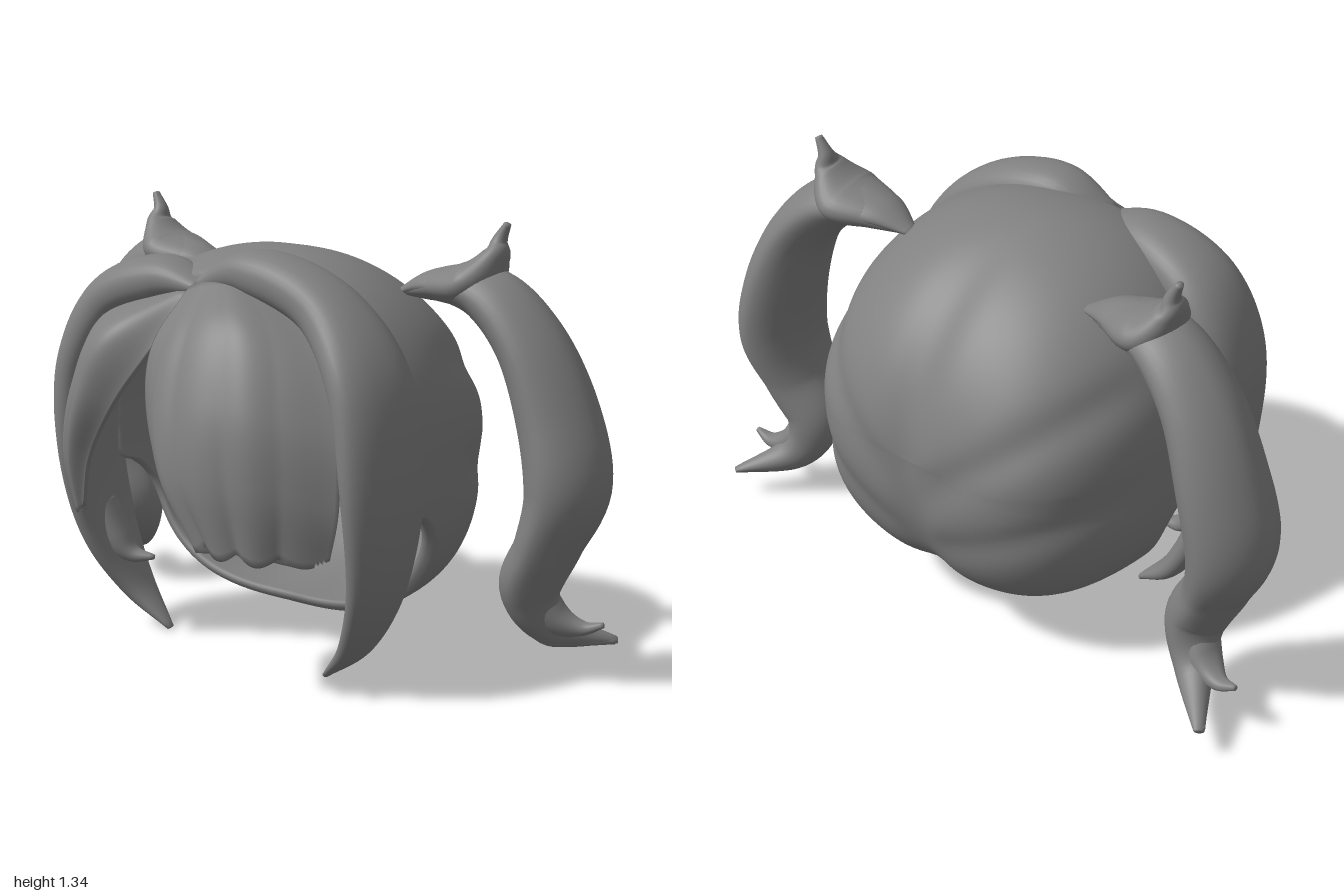
import * as THREE from 'three';
import { mergeVertices } from 'three/addons/utils/BufferGeometryUtils.js';

const material = new THREE.MeshStandardMaterial({ color: 0x808080, side: THREE.DoubleSide });
const V = (a) => new THREE.Vector3(...a);
const spline = (pts) => new THREE.CatmullRomCurve3(pts.map(V), false, 'catmullrom', 0.5);
const spow = (v, e) => Math.sign(v) * Math.pow(Math.abs(v), e);
const smooth = THREE.MathUtils.smoothstep;

// Closed skin over a list of rings (each ring is a closed loop of points)
function skin(name, rings) {
  const n = rings[0].length, index = [];
  const centre = (ring) => {
    const c = ring.reduce((a, p) => a.add(p), new THREE.Vector3()).divideScalar(n);
    return ring.map(() => c);
  };
  const all = [centre(rings[0]), ...rings, centre(rings[rings.length - 1])];
  const pts = all.flat();
  let volume = 0;
  const tri = (a, b, c) => {
    index.push(a, b, c);
    volume += pts[a].dot(new THREE.Vector3().crossVectors(pts[b], pts[c]));
  };
  for (let i = 0; i < all.length - 1; i++) {
    for (let j = 0; j < n; j++) {
      const a = i * n + j, b = i * n + (j + 1) % n;
      tri(a, b, b + n);
      tri(a, b + n, a + n);
    }
  }
  if (volume < 0) index.reverse();
  let geo = new THREE.BufferGeometry().setFromPoints(pts);
  geo.setIndex(index);
  geo = mergeVertices(geo, 1e-5);
  geo.computeVertexNormals();
  const mesh = new THREE.Mesh(geo, material);
  mesh.name = name;
  return mesh;
}

// Tapered lock: stations are [x, y, z, half width, half thickness];
// power below 1 squares the section, above 1 makes it a soft diamond
function lock(name, stations, { wide = [0, 0, 1], steps = 64, power = 0.9 } = {}) {
  const path = spline(stations.map((s) => s.slice(0, 3)));
  const size = spline(stations.map((s) => [s[3], s[4], 0]));
  const rings = [], sides = 32;
  for (let i = 0; i <= steps; i++) {
    const t = i / steps, p = path.getPoint(t), s = size.getPoint(t);
    const T = path.getTangent(t), W = V(wide);
    W.addScaledVector(T, -W.dot(T)).normalize();
    const N = new THREE.Vector3().crossVectors(T, W);
    rings.push(Array.from({ length: sides }, (_, j) => {
      const a = (j / sides) * Math.PI * 2;
      return p.clone()
        .addScaledVector(W, Math.max(s.x, 0.004) * spow(Math.cos(a), power))
        .addScaledVector(N, Math.max(s.y, 0.004) * spow(Math.sin(a), power));
    }));
  }
  return skin(name, rings);
}

// Fringe tuft: guide curves run root to tip, side by side; strands ripple the front
function tuft(name, guides, strands, ripple, scallop) {
  const curves = guides.map(spline), rings = [], nS = 64, nT = 40;
  const core = new THREE.Vector3(0, 0.66, 0);
  for (let i = 0; i <= nT; i++) {
    const t = i / nT;
    const across = new THREE.CatmullRomCurve3(curves.map((c) => c.getPoint(t)), false, 'catmullrom', 0.5);
    const front = [], back = [];
    for (let j = 0; j <= nS; j++) {
      const s = j / nS, p = across.getPoint(s);
      const wave = Math.abs(Math.sin(Math.PI * strands * s));
      p.y -= scallop * (wave - 0.5) * Math.pow(t, 6);
      const out = p.clone().sub(core).normalize();
      p.addScaledVector(out, ripple * (wave - 0.6) * t * Math.sin(Math.PI * s));
      front.push(p);
      if (j > 0 && j < nS) {
        const depth = 0.07 * Math.pow(Math.sin(Math.PI * s), 0.5) * (1 - 0.6 * t * t);
        back.unshift(p.clone().addScaledVector(out, -depth));
      }
    }
    rings.push([...front, ...back]);
  }
  return skin(name, rings);
}

// Hollow back of the hair, open to the front, with combed grooves
function backHair() {
  const nU = 160, nV = 48, rings = [];
  const point = (u, k, shell) => {
    const c = Math.cos(u), s = Math.sin(u), e = s < 0 ? 0.67 : 0.9;
    // the opening arches back behind the jaw
    const arch = THREE.MathUtils.clamp((-spow(s, e) - 0.25) / 0.33, 0, 1);
    const edge = s > 0 ? 0.12 + 0.13 * smooth(s, 0.2, 0.9)
      : 0.12 - 0.18 * Math.sqrt(1 - (1 - arch) * (1 - arch));
    const v = Math.max(k, 0.004) * Math.acos(-edge / 0.58), sv = Math.sin(v);
    // broad, squarish back; domed crown; flat underside
    const low = v > Math.PI / 2 ? sv : 1 - Math.pow(1 - sv, 1.7);
    const height = s > 0 ? 0.58 * Math.pow(sv, 1.1) : 0.54 * low;
    const p = new THREE.Vector3(0.57 * Math.pow(sv, 0.55) * spow(c, e), height * spow(s, e), -0.585 * Math.cos(v));
    const ax = Math.abs(p.x), back = smooth(-p.z, 0, 0.35);
    const groove = (d, w) => Math.exp(-(d * d) / (w * w));
    let dent = 0.035 * groove(ax, 0.08) * smooth(-p.z, 0, 0.4);
    dent += 0.026 * back * groove(p.y + 0.14 - 0.8 * ax, 0.08) * smooth(ax, 0, 0.15);
    dent += 0.018 * back * groove(p.y + 0.33 - 0.5 * ax, 0.06) * smooth(ax, 0, 0.15);
    p.multiplyScalar((1 - dent) * shell);
    // keep the inner wall's rim level with the outer one
    if (shell < 1) p.z += (1 - shell) * 0.3 * k;
    p.y += 0.66;
    return p;
  };
  const ring = (k, shell) => Array.from({ length: nU }, (_, j) => point((j / nU) * Math.PI * 2, k, shell));
  for (let i = 0; i <= nV; i++) rings.push(ring(i / nV, 1));
  rings.push(ring(1.01, 0.975));
  for (let i = nV; i >= 0; i--) rings.push(ring(i / nV, 0.94));
  return skin('backHair', rings);
}

function pigtail(side, name) {
  const g = new THREE.Group();
  g.name = name;
  const m = (rows) => rows.map(([x, ...r]) => [x * side, ...r]);
  g.add(lock('tail', m([
    [0.33, 1.11, -0.17, 0.02, 0.01], [0.46, 1.145, -0.175, 0.085, 0.045], [0.62, 1.125, -0.195, 0.115, 0.08],
    [0.75, 1.0, -0.21, 0.14, 0.092], [0.84, 0.8, -0.222, 0.16, 0.11], [0.885, 0.6, -0.215, 0.165, 0.117],
    [0.84, 0.43, -0.2, 0.138, 0.092], [0.775, 0.28, -0.21, 0.1, 0.09], [0.82, 0.155, -0.27, 0.06, 0.06],
    [0.95, 0.1, -0.42, 0.016, 0.01],
  ]), { steps: 80, power: 1.12 }));
  // Ridge rising to an upturned wisp at the tie
  g.add(lock('topWisp', m([
    [0.34, 1.112, -0.17, 0.02, 0.01], [0.46, 1.14, -0.175, 0.085, 0.045], [0.575, 1.16, -0.19, 0.118, 0.062],
    [0.635, 1.235, -0.2, 0.06, 0.036], [0.642, 1.28, -0.207, 0.026, 0.022], [0.665, 1.33, -0.21, 0.012, 0.01],
  ]), { steps: 40, power: 1 }));
  // Split ends
  g.add(lock('endWisp', m([
    [0.77, 0.27, -0.21, 0.07, 0.07], [0.84, 0.19, -0.25, 0.055, 0.045],
    [0.91, 0.165, -0.28, 0.03, 0.022], [0.975, 0.185, -0.29, 0.008, 0.008],
  ]), { steps: 24 }));
  g.add(lock('lowerWisp', m([
    [0.76, 0.25, -0.21, 0.06, 0.06], [0.81, 0.145, -0.26, 0.05, 0.04],
    [0.88, 0.115, -0.33, 0.03, 0.02], [0.95, 0.1, -0.41, 0.012, 0.01],
  ]), { steps: 24 }));
  return g;
}

export function createModel() {
  const model = new THREE.Group();
  model.name = 'pigtailHair';
  model.add(backHair());

  // Long locks sweeping from the parting down each side of the face
  model.add(lock('leftSideLock', [
    [-0.08, 1.14, 0.25, 0.04, 0.02], [0.1, 1.185, 0.215, 0.09, 0.07], [0.34, 1.11, 0.205, 0.11, 0.075],
    [0.51, 0.92, 0.23, 0.15, 0.07], [0.565, 0.63, 0.24, 0.153, 0.06], [0.54, 0.35, 0.22, 0.115, 0.048],
    [0.44, 0.14, 0.175, 0.072, 0.034], [0.3, 0.004, 0.14, 0.014, 0.008],
  ], { wide: [-0.15, 0, 1] }));
  model.add(lock('rightSideLock', [
    [-0.06, 1.13, 0.245, 0.045, 0.02], [-0.25, 1.14, 0.215, 0.1, 0.07], [-0.45, 1.06, 0.205, 0.135, 0.08],
    [-0.555, 0.86, 0.215, 0.155, 0.07], [-0.57, 0.6, 0.215, 0.15, 0.058], [-0.55, 0.33, 0.165, 0.13, 0.05],
    [-0.47, 0.13, 0.12, 0.075, 0.036], [-0.34, 0.004, 0.11, 0.014, 0.008],
  ], { wide: [0.15, 0, 1] }));
  model.add(lock('rightSideWisp', [
    [-0.54, 0.42, 0.2, 0.05, 0.03], [-0.5, 0.3, 0.18, 0.05, 0.04],
    [-0.45, 0.24, 0.16, 0.035, 0.025], [-0.38, 0.235, 0.14, 0.01, 0.008],
  ], { steps: 24 }));

  // Fringe, split at the parting
  model.add(tuft('leftFringe', [
    [[-0.09, 1.14, 0.29], [-0.13, 0.98, 0.41], [-0.12, 0.8, 0.45], [-0.04, 0.6, 0.47], [0.1, 0.46, 0.47]],
    [[-0.03, 1.16, 0.29], [0, 1.03, 0.45], [0.02, 0.85, 0.54], [0.07, 0.65, 0.58], [0.17, 0.465, 0.56]],
    [[0.05, 1.165, 0.28], [0.2, 1.07, 0.42], [0.28, 0.86, 0.515], [0.31, 0.65, 0.54], [0.32, 0.445, 0.52]],
    [[0.15, 1.15, 0.22], [0.4, 1.0, 0.3], [0.5, 0.8, 0.36], [0.52, 0.6, 0.38], [0.49, 0.435, 0.38]],
  ], 5, 0.015, 0.025));
  model.add(tuft('rightFringe', [
    [[-0.08, 1.12, 0.29], [-0.15, 0.95, 0.41], [-0.25, 0.8, 0.45], [-0.37, 0.62, 0.43], [-0.43, 0.45, 0.4]],
    [[-0.12, 1.13, 0.28], [-0.28, 1.01, 0.45], [-0.37, 0.83, 0.485], [-0.45, 0.62, 0.45], [-0.465, 0.42, 0.39]],
    [[-0.16, 1.13, 0.22], [-0.42, 1.03, 0.3], [-0.51, 0.83, 0.34], [-0.54, 0.62, 0.35], [-0.5, 0.45, 0.35]],
  ], 2, 0.01, 0));

  model.add(pigtail(1, 'leftPigtail'), pigtail(-1, 'rightPigtail'));
  return model;
}
